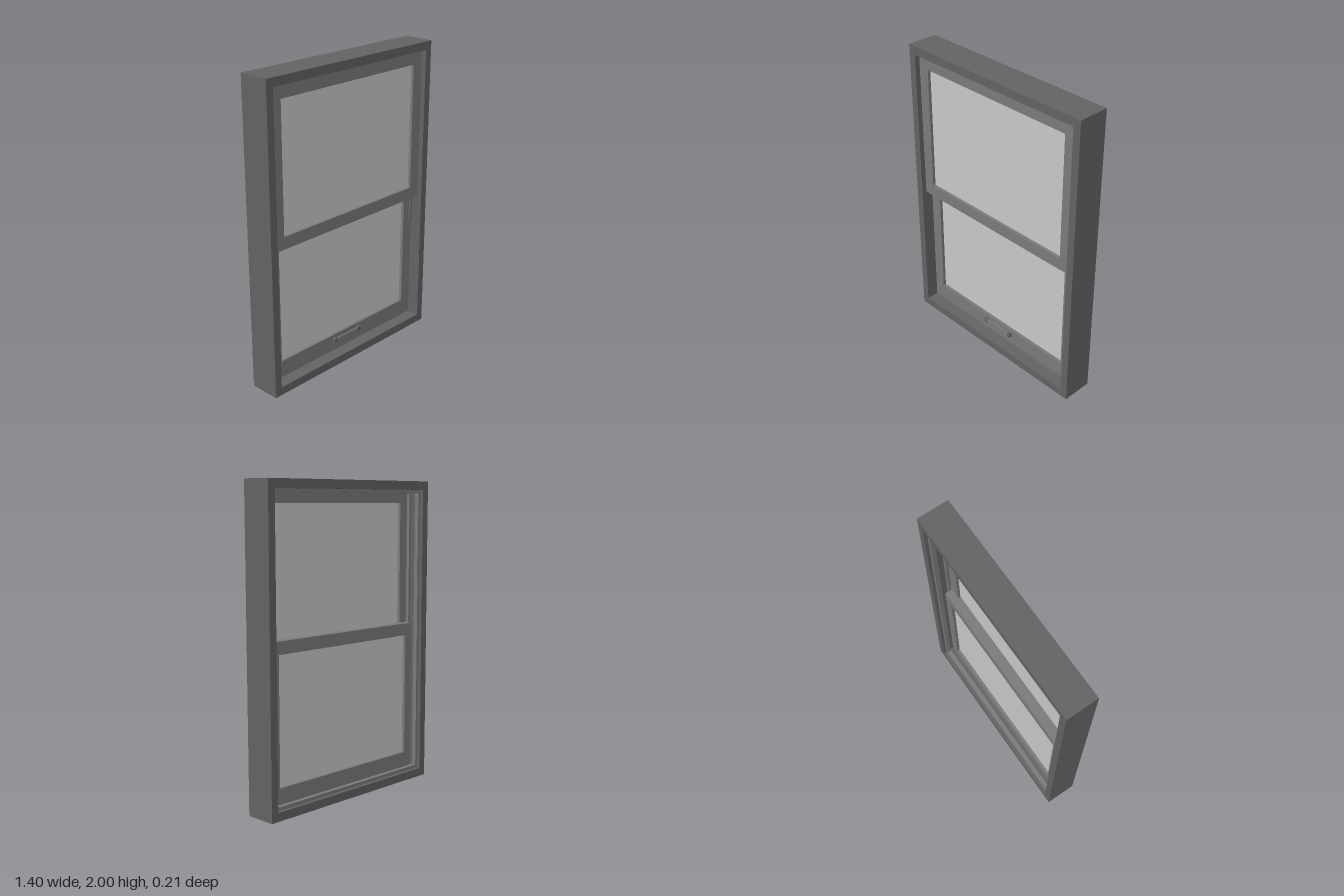
import * as THREE from 'three';

const material = (color) => new THREE.MeshStandardMaterial({ color });

// Rectangle as [x0, y0, x1, y1]
function rectPath(Type, [x0, y0, x1, y1]) {
  const p = new Type();
  p.moveTo(x0, y0);
  p.lineTo(x1, y0);
  p.lineTo(x1, y1);
  p.lineTo(x0, y1);
  p.closePath();
  return p;
}

// Rectangular ring between two rectangles, from z0 to z1
function ring(name, outer, inner, z0, z1, mat) {
  const shape = rectPath(THREE.Shape, outer);
  shape.holes.push(rectPath(THREE.Path, inner));
  const geo = new THREE.ExtrudeGeometry(shape, { depth: z1 - z0, bevelEnabled: false });
  geo.translate(0, 0, z0);
  const mesh = new THREE.Mesh(geo, mat);
  mesh.name = name;
  return mesh;
}

function box(name, [w, h, d], [x, y, z], mat) {
  const mesh = new THREE.Mesh(new THREE.BoxGeometry(w, h, d), mat);
  mesh.position.set(x, y, z);
  mesh.name = name;
  return mesh;
}

// Sash: a rail-and-stile ring with a pane at mid depth
function sash(name, outer, inner, z0, z1, frameMat, glassMat) {
  const g = new THREE.Group();
  g.name = name;
  const [x0, y0, x1, y1] = inner;
  g.add(ring(name + 'Frame', outer, inner, z0, z1, frameMat));
  g.add(box(name + 'Glass', [x1 - x0 + 0.02, y1 - y0 + 0.02, 0.01],
    [(x0 + x1) / 2, (y0 + y1) / 2, (z0 + z1) / 2], glassMat));
  return g;
}

export function createModel() {
  const model = new THREE.Group();
  model.name = 'doubleHungWindow';
  const frameMat = material(0x646464);
  const sashMat = material(0x7c7c7c);
  const glassMat = material(0xcccccc);

  // Outer frame
  const opening = [-0.65, 0.055, 0.65, 1.945];
  model.add(ring('outerFrame', [-0.7, 0, 0.7, 2], opening, -0.103, 0.103, frameMat));

  // Stops forming the tracks inside the frame
  const stopInner = [-0.631, 0.077, 0.631, 1.923];
  model.add(ring('partingStop', opening, stopInner, -0.003, 0.019, sashMat));
  model.add(ring('backStop', opening, stopInner, -0.08, -0.05, sashMat));

  // Upper sash in the front track, lower sash in the back track
  model.add(sash('upperSash', [-0.646, 0.95, 0.646, 1.941], [-0.57, 1.03, 0.568, 1.86],
    0.024, 0.073, sashMat, glassMat));
  model.add(sash('lowerSash', [-0.631, 0.077, 0.631, 1.06], [-0.57, 0.17, 0.568, 0.98],
    -0.03, 0.021, sashMat, glassMat));

  // Pull handle on the lower rail
  const handle = new THREE.Group();
  handle.name = 'pullHandle';
  handle.add(box('handleBar', [0.2, 0.022, 0.01], [0, 0.135, 0.036], sashMat));
  for (const s of [-1, 1]) {
    handle.add(box('handleEnd', [0.025, 0.03, 0.024], [s * 0.11, 0.135, 0.031], frameMat));
  }
  model.add(handle);

  // Slim catch on the jamb beneath the meeting rail
  model.add(box('jambCatch', [0.008, 0.2, 0.02], [0.626, 0.85, 0.03], frameMat));

  return model;
}
